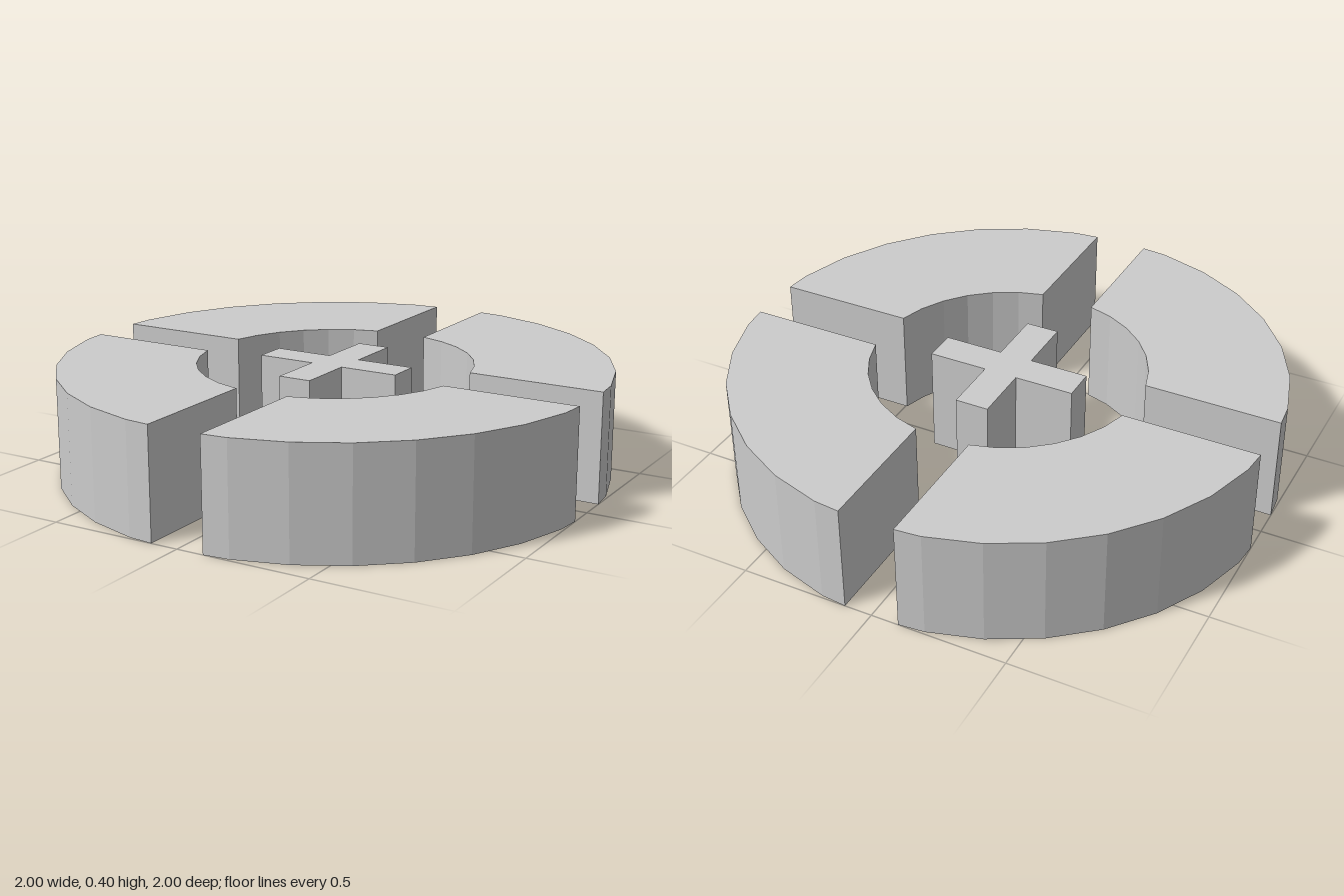
import * as THREE from 'three';

const HEIGHT = 0.404, OUTER = 1.01, INNER = 0.505, GAP = 0.102;
const STEP = Math.PI / 16; // 32-sided rings

const material = new THREE.MeshStandardMaterial({ color: 0xcccccc, flatShading: true });

// Upright prism standing on y = 0 from a plan outline
function prism(points, name) {
  const geometry = new THREE.ExtrudeGeometry(new THREE.Shape(points), { depth: HEIGHT, bevelEnabled: false });
  geometry.rotateX(-Math.PI / 2);
  const mesh = new THREE.Mesh(geometry, material);
  mesh.name = name;
  return mesh;
}

// Quarter of a faceted ring, cut off square at x = GAP and y = GAP
function quarterArc(radius) {
  const at = (i) => new THREE.Vector2(radius * Math.cos(i * STEP), radius * Math.sin(i * STEP));
  const points = [];
  for (let i = 0; i < 8; i++) {
    const a = at(i), b = at(i + 1);
    if (a.x > GAP && a.y > GAP) points.push(a);
    if (a.y <= GAP && b.y > GAP) points.push(a.clone().lerp(b, (GAP - a.y) / (b.y - a.y)));
    if (a.x > GAP && b.x <= GAP) points.push(a.clone().lerp(b, (GAP - a.x) / (b.x - a.x)));
  }
  return points;
}

export function createModel() {
  const model = new THREE.Group();
  model.name = 'segmentedRing';

  // Four ring segments separated by straight slots
  const outline = [...quarterArc(OUTER), ...quarterArc(INNER).reverse()];
  for (let i = 0; i < 4; i++) {
    const segment = prism(outline, `ringSegment${i + 1}`);
    segment.rotation.y = i * Math.PI / 2;
    model.add(segment);
  }

  // Central cross post
  const arm = 0.282, half = 0.062;
  const cross = [];
  for (let i = 0; i < 4; i++) {
    for (const [x, y] of [[arm, -half], [arm, half], [half, half]]) {
      cross.push(new THREE.Vector2(x, y).rotateAround(new THREE.Vector2(), i * Math.PI / 2));
    }
  }
  model.add(prism(cross, 'centreCross'));

  return model;
}
